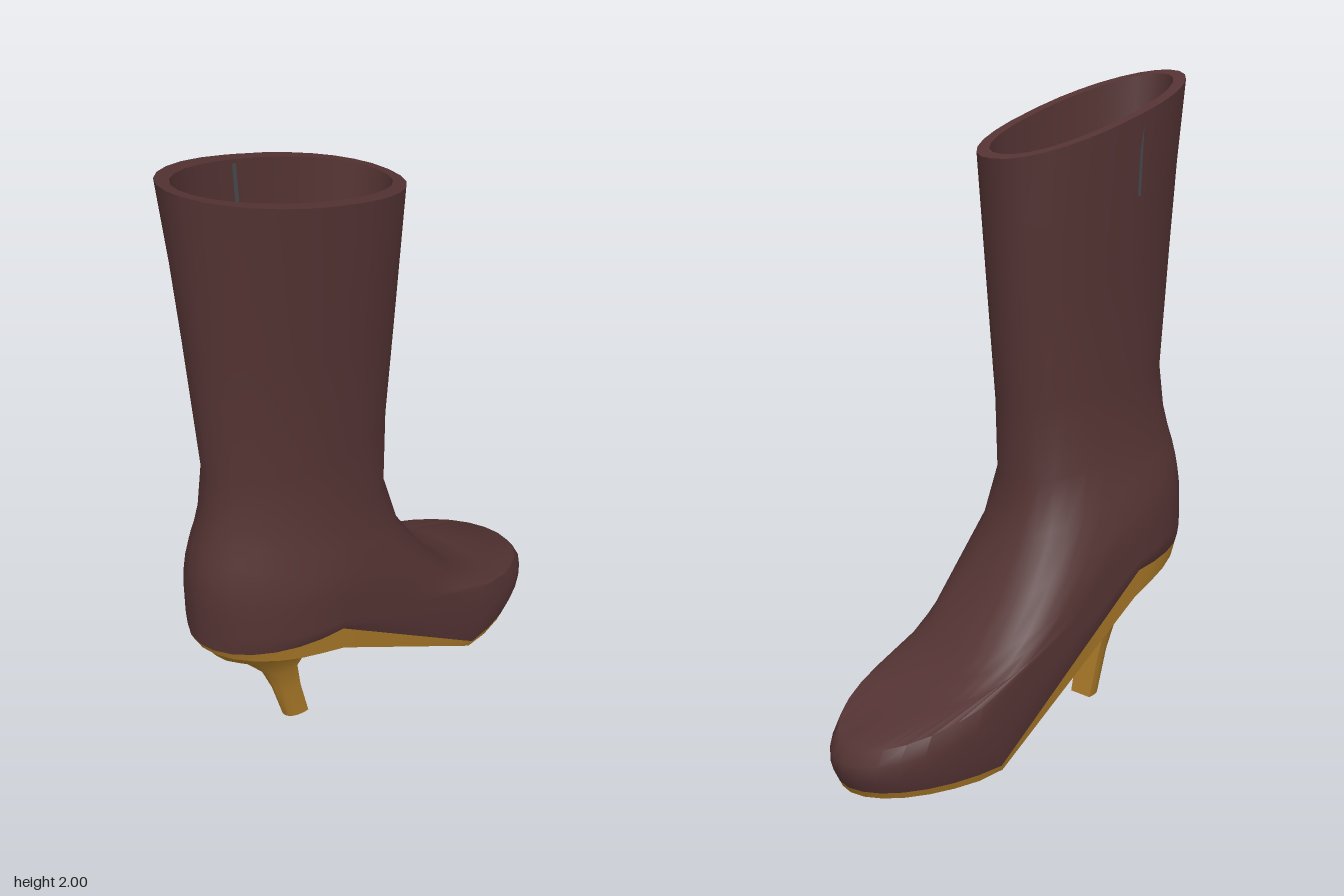
import * as THREE from 'three';
import { toCreasedNormals } from 'three/addons/utils/BufferGeometryUtils.js';

const lerp = THREE.MathUtils.lerp;

// Close a half outline (back to front, +z side) by mirroring it in z
const mirrorRing = (half) => [
  ...half,
  ...half.slice(1, -1).reverse().map(([x, y, z]) => [x, y, -z]),
];

// Skin a list of mirrored rings, with optional caps
function loft(rings, { capStart = false, capEnd = false, crease = 0.9 } = {}) {
  const n = rings[0].length;
  const index = [];
  const tri = (a, b, c) => { if (a !== b && b !== c && c !== a) index.push(a, b, c); };
  for (let j = 0; j < rings.length - 1; j++) {
    for (let i = 0; i < n; i++) {
      const a = j * n + i, b = j * n + (i + 1) % n;
      tri(a, b, b + n);
      tri(a, b + n, a + n);
    }
  }
  const cap = (base, up) => {
    for (let i = 0; i < n / 2; i++) {
      const q = [i, i + 1, n - i - 1, (n - i) % n].map((k) => base + k);
      if (!up) q.reverse();
      tri(q[0], q[1], q[2]);
      tri(q[0], q[2], q[3]);
    }
  };
  if (capStart) cap(0, false);
  if (capEnd) cap((rings.length - 1) * n, true);
  const geo = new THREE.BufferGeometry();
  geo.setAttribute('position', new THREE.Float32BufferAttribute(rings.flat(2), 3));
  geo.setIndex(index);
  return toCreasedNormals(geo, crease);
}

// Rounded-end outline in plan; height(x) places each point
function outline(xb, xf, w, n, height) {
  const L = xf - xb, rb = Math.min(0.37, L * 0.5), rf = Math.min(0.4, L * 0.48);
  const half = [], Q = 7, M = 5;
  const put = (x, z) => half.push([x, height(x), z]);
  for (let i = 0; i <= Q; i++) {
    const t = (i / Q) * Math.PI / 2;
    put(xb + rb - rb * Math.cos(t), i ? w * Math.sin(t) : 0);
  }
  for (let i = 1; i < M; i++) put(lerp(xb + rb, xf - rf, i / M), w);
  for (let i = Q; i >= 0; i--) {
    const t = (i / Q) * Math.PI / 2;
    const c = Math.max(0, Math.cos(t)), s = Math.sin(t);
    put(xf - rf + rf * Math.pow(c, 2 / n), i ? w * Math.pow(s, 2 / n) : 0);
  }
  return mirrorRing(half);
}

// Height along a bent line of [x, y] points
const bentLine = (pts) => (x) => {
  let k = 0;
  while (k < pts.length - 2 && x > pts[k + 1][0]) k++;
  const [x0, y0] = pts[k], [x1, y1] = pts[k + 1];
  return lerp(y0, y1, (x - x0) / (x1 - x0));
};
const soleTop = bentLine([[-0.7, 0.52], [-0.33, 0.48], [0.28, 0.025], [0.68, 0.02]]);
const soleBottom = bentLine([[-0.7, 0.5], [-0.34, 0.405], [0.28, 0], [0.68, 0]]);
const soleSag = (x) => soleTop(x) - lerp(0.52, 0.02, (x + 0.7) / 1.38);

// One ring of the upper: back point, front point, half width, front squareness, sag
function bootRing([xb, yb, xf, yf, w, n = 2, sag = 0], inset = 0) {
  const height = (x) => {
    const t = (x - xb) / (xf - xb);
    return lerp(yb, yf, t) + sag * soleSag(lerp(-0.7, 0.68, t));
  };
  return outline(xb + inset, xf - inset, w - inset, n, height);
}

export function createModel() {
  const boot = new THREE.Group();
  boot.name = 'heeledBoot';
  const leather = new THREE.MeshStandardMaterial({ color: 0x543333 });
  const wood = new THREE.MeshStandardMaterial({ color: 0xa87828 });
  const dark = new THREE.MeshStandardMaterial({ color: 0x44494c });
  const add = (name, geo, mat) => {
    const mesh = new THREE.Mesh(geo, mat);
    mesh.name = name;
    boot.add(mesh);
    return mesh;
  };

  // Upper: rings fan from the sole over the instep and up the shaft
  const foot = [
    [-0.7, 0.52, 0.68, 0.02, 0.225, 2, 1],
    [-0.7, 0.56, 0.7, 0.06, 0.235, 2, 0.8],
    [-0.7, 0.6, 0.7, 0.1, 0.236, 2, 0.45],
    [-0.7, 0.64, 0.67, 0.14, 0.235, 2, 0.15],
    [-0.7, 0.68, 0.45, 0.205, 0.235, 2.6],
    [-0.695, 0.74, 0.33, 0.275, 0.235, 3],
    [-0.685, 0.79, 0.26, 0.33, 0.235, 3],
    [-0.67, 0.84, 0.15, 0.47, 0.228, 3],
    [-0.655, 0.89, 0.05, 0.63, 0.205, 2.6],
    [-0.64, 0.95, 0.01, 0.8, 0.182, 2.3],
  ];
  const shaft = [
    [-0.625, 1.08, 0.03, 1.04, 0.167, 2.2],
    [-0.655, 1.5, 0.056, 1.36, 0.187, 2.2],
    [-0.675, 1.75, 0.073, 1.57, 0.199, 2.2],
    [-0.7, 2, 0.09, 1.775, 0.211, 2.2],
  ];
  // The shaft lining turns over the rim and runs down to a closed floor
  const lining = [...shaft].reverse().map((r) => bootRing(r, 0.038));
  const upper = [...foot, ...shaft].map((r) => bootRing(r));
  add('upper', loft([...upper, ...lining], { capEnd: true }), leather);

  // Sole plate, bent at the arch and the ball of the foot
  add('sole', loft([
    outline(-0.69, 0.67, 0.218, 2, soleBottom),
    outline(-0.7, 0.68, 0.224, 2, soleTop),
  ], { capStart: true, crease: 0.5 }), wood);

  // Heel: D-shaped sections, round behind and flat in front
  const heelSections = [
    [-0.38, 0, -0.31, 0, 0.04],
    [-0.42, 0.14, -0.345, 0.14, 0.045],
    [-0.46, 0.24, -0.37, 0.25, 0.06],
    [-0.55, 0.35, -0.37, 0.33, 0.1],
    [-0.64, 0.43, -0.35, 0.4, 0.16],
    [-0.7, 0.52, -0.33, 0.48, 0.222],
  ];
  const heelRing = ([xb, yb, xf, yf, w]) => {
    const half = [];
    for (let i = 0; i <= 7; i++) {
      const t = (i / 7) * Math.PI / 2, s = 1 - Math.cos(t);
      half.push([lerp(xb, xf, s), lerp(yb, yf, s), w * Math.sin(t)]);
    }
    half.push([xf, yf, 0]);
    return mirrorRing(half);
  };
  add('heel', loft(heelSections.map(heelRing), { capStart: true }), wood);

  // Thin zip strip let through the shaft wall
  const zip = add('zip', new THREE.BoxGeometry(0.012, 0.23, 0.042), dark);
  zip.position.set(-0.33, 1.765, -0.183);
  zip.rotation.x = -0.047;

  // Small tab on the shaft floor
  const tab = add('innerTab', new THREE.BoxGeometry(0.07, 0.04, 0.05), dark);
  tab.position.set(-0.06, 1.06, -0.025);

  return boot;
}
